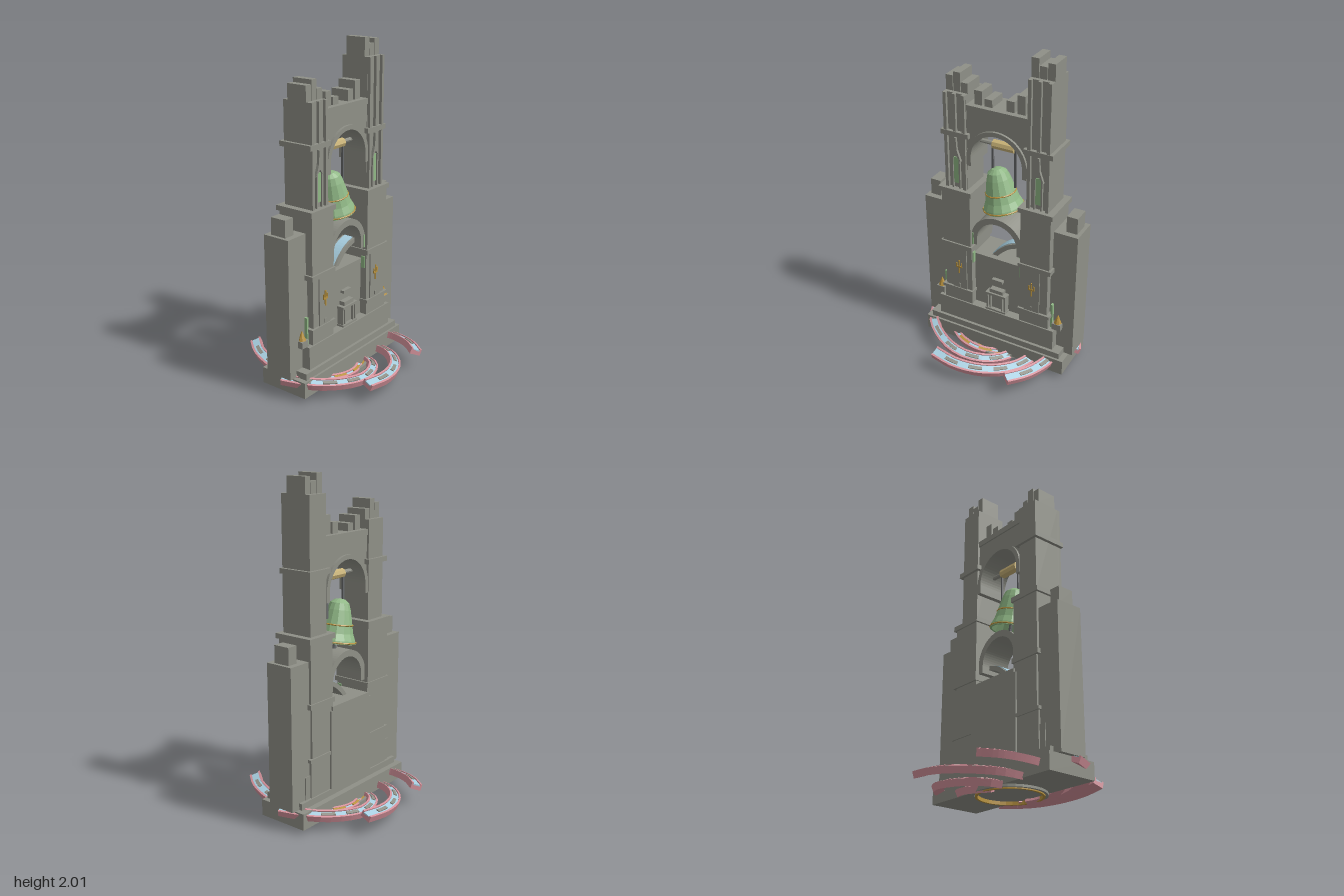
import * as THREE from 'three';

const paint = (name, color) => {
  const m = new THREE.MeshStandardMaterial({ color });
  m.name = name;
  return m;
};

export function createModel() {
  const model = new THREE.Group();
  model.name = 'bellTower';
  const stone = paint('stone', 0x8f9087), green = paint('patina green', 0x90b886);
  const blue = paint('pale blue', 0xa8cfe0), pink = paint('pink', 0xd4929b);
  const gold = paint('gold', 0xb8923f), wood = paint('light wood', 0xc8b277);
  const iron = paint('dark iron', 0x66686a);

  const add = (name, geo, mat, parent = model) => {
    const g = geo.index ? geo.toNonIndexed() : geo;
    g.computeVertexNormals();
    const mesh = new THREE.Mesh(g, mat);
    mesh.name = name;
    parent.add(mesh);
    return mesh;
  };
  // box from its limits
  const box = (name, mat, x0, x1, y0, y1, z0, z1, parent = model) => {
    const m = add(name, new THREE.BoxGeometry(Math.abs(x1 - x0), y1 - y0, z1 - z0), mat, parent);
    m.position.set((x0 + x1) / 2, (y0 + y1) / 2, (z0 + z1) / 2);
    return m;
  };
  const extrude = (name, mat, shape, z0, z1, parent = model) => {
    const g = new THREE.ExtrudeGeometry(shape, { depth: z1 - z0, bevelEnabled: false, curveSegments: 16 });
    return add(name, g.translate(0, 0, z0), mat, parent);
  };

  // plinth and steps
  box('plinth', stone, -0.485, 0.485, 0.02, 0.12, -0.165, 0.157);
  box('lowerStep', stone, -0.453, 0.453, 0.12, 0.16, -0.127, 0.143);
  box('upperStep', stone, -0.4, 0.4, 0.16, 0.3, -0.11, 0.125);
  box('centreWall', stone, -0.19, 0.19, 0.16, 0.645, -0.127, 0.07);
  box('centreWallCap', stone, -0.175, 0.175, 0.64, 0.67, -0.127, 0.08);

  // pair of towers with side wings
  for (const s of [-1, 1]) {
    const t = new THREE.Group();
    t.name = s < 0 ? 'rightTower' : 'leftTower';
    model.add(t);
    const b = (name, mat, x0, x1, ...r) => box(name, mat, s * x0, s * x1, ...r, t);
    const top = s < 0 ? 1.71 : 1.89;
    b('wing', stone, 0.34, 0.51, 0.12, 0.977, -0.105, 0.07);
    b('wingBlock', stone, 0.42, 0.488, 0.977, 1.08, -0.07, 0.033);
    b('towerFoot', stone, 0.165, 0.36, 0.16, 0.38, -0.118, 0.117);
    b('footBand', stone, 0.158, 0.372, 0.38, 0.4, -0.126, 0.127);
    b('lowerShaft', stone, 0.165, 0.35, 0.4, 0.7, -0.118, 0.113);
    b('shaftPanel', stone, 0.2, 0.3, 0.4, 0.7, 0.11, 0.121);
    b('middleBand', stone, 0.158, 0.372, 0.7, 0.73, -0.128, 0.127);
    b('middleShaft', stone, 0.168, 0.36, 0.73, 1.08, -0.12, 0.117);
    b('shoulderCap', stone, 0.155, 0.375, 1.08, 1.11, -0.13, 0.127);
    b('upperShaft', stone, 0.195, 0.335, 1.11, top, -0.097, 0.086);
    b('upperBand', stone, 0.175, 0.355, 1.45, 1.48, -0.114, 0.108);
    // pilasters and pointed lancet
    for (const x of [0.197, 0.315]) b('pilaster', stone, x, x + 0.02, 1.11, top, 0.08, 0.104);
    b('middlePilaster', stone, 0.256, 0.275, 1.48, top, 0.08, 0.104);
    b('lancetPane', green, 0.247, 0.284, 1.14, 1.31, 0.086, 0.092);
    for (const x of [0.238, 0.284]) b('lancetJamb', stone, x, x + 0.009, 1.11, 1.31, 0.08, 0.1);
    const gable = new THREE.Shape();
    [[-0.034, 1.29], [0, 1.33], [0.034, 1.29], [0.01, 1.36], [0.005, 1.44], [-0.005, 1.44], [-0.01, 1.36]]
      .forEach(([x, y], i) => (i ? gable.lineTo(x + s * 0.2655, y) : gable.moveTo(x + s * 0.2655, y)));
    extrude('lancetGable', stone, gable, 0.08, 0.102, t);
    // merlons, listed from the model's right
    const tops = s < 0 ? [1.8, 1.825, 1.77] : [2.0, 1.96, 1.985];
    tops.forEach((y, i) => {
      const x = s * 0.265 - 0.07 + i * 0.048;
      box('towerMerlon', stone, x, x + 0.044, top, y, -0.067, 0.063, t);
    });
    // gold cross ornament
    b('crossStem', gold, 0.246, 0.254, 0.515, 0.61, 0.12, 0.127);
    b('crossArm', gold, 0.23, 0.27, 0.557, 0.566, 0.12, 0.127);
    for (const x of [0.23, 0.264]) b('crossTip', gold, x, x + 0.006, 0.56, 0.59, 0.12, 0.127);
    b('panelNiche', stone, 0.243, 0.257, 0.41, 0.435, 0.12, 0.126);
    // hanging green strips
    b('outerStrip', green, 0.365, 0.378, 0.3, 0.47, 0.068, 0.09);
    b('upperInnerStrip', green, 0.158, 0.168, 0.745, 0.825, 0.06, 0.1);
    b('lowerInnerStrip', green, 0.158, 0.165, 0.61, 0.685, 0.08, 0.105);
    // corner finial
    b('finialBlock', stone, 0.38, 0.438, 0.3, 0.342, 0.05, 0.102);
    const cone = add('finial', new THREE.ConeGeometry(0.024, 0.06, 8), gold, t);
    cone.position.set(s * 0.41, 0.372, 0.077);
  }

  // belfry wall with round arch
  const wall = new THREE.Shape();
  wall.moveTo(-0.2, 1.28);
  wall.lineTo(-0.17, 1.28);
  wall.lineTo(-0.17, 1.335);
  wall.absarc(0, 1.335, 0.17, Math.PI, 0, true);
  wall.lineTo(0.17, 1.28);
  wall.lineTo(0.2, 1.28);
  wall.lineTo(0.2, 1.65);
  wall.lineTo(-0.2, 1.65);
  extrude('belfryWall', stone, wall, -0.083, 0.083);
  box('belfryCornice', stone, -0.195, 0.195, 1.62, 1.655, -0.092, 0.09);
  [[-0.157, 1.74], [-0.092, 1.7], [0.046, 1.72], [0.112, 1.765]].forEach(([x, y]) =>
    box('wallMerlon', stone, x, x + 0.048, 1.65, y, -0.06, 0.057));

  // arch rings with short legs
  const archRing = (name, cy, inner, outer, foot, z) => {
    const a = new THREE.Shape();
    a.moveTo(-outer, foot);
    a.lineTo(-inner, foot);
    a.lineTo(-inner, cy);
    a.absarc(0, cy, inner, Math.PI, 0, true);
    a.lineTo(inner, foot);
    a.lineTo(outer, foot);
    a.lineTo(outer, cy);
    a.absarc(0, cy, outer, 0, Math.PI, false);
    extrude(name, stone, a, -z, z);
  };
  archRing('belfryArch', 1.338, 0.165, 0.192, 1.28, 0.098);
  archRing('lowerArch', 0.79, 0.135, 0.174, 0.745, 0.095);

  // bell gear
  const axle = add('bellAxle', new THREE.CylinderGeometry(0.013, 0.013, 0.38, 8).rotateZ(Math.PI / 2), stone);
  axle.position.y = 1.408;
  const stock = add('headstock', new THREE.CylinderGeometry(0.028, 0.028, 0.14, 8).rotateZ(Math.PI / 2), wood);
  stock.position.y = 1.405;
  box('shortRod', iron, -0.081, -0.069, 1.19, 1.4, -0.006, 0.006);
  box('longRod', iron, 0.067, 0.079, 1.155, 1.4, -0.006, 0.006);

  // swinging bell
  const bell = new THREE.Group();
  bell.name = 'bell';
  bell.position.set(-0.002, 1.0, 0);
  bell.rotation.z = 0.19;
  model.add(bell);
  const lathe = (pts, n) => new THREE.LatheGeometry(pts.map(p => new THREE.Vector2(...p)), n);
  add('bellBody', lathe([[0, 0.17], [0.07, 0.13], [0.112, 0], [0.124, 0], [0.12, 0.02], [0.103, 0.06],
    [0.092, 0.11], [0.072, 0.195], [0.058, 0.235], [0.03, 0.255], [0, 0.26]], 14), green, bell);
  const hoop = (r, y) => add('bellHoop', new THREE.TorusGeometry(r, 0.005, 5, 14).rotateX(Math.PI / 2), gold, bell)
    .position.set(0, y, 0);
  hoop(0.123, 0.008);
  hoop(0.092, 0.108);
  const clapper = add('clapper', new THREE.CylinderGeometry(0.008, 0.012, 0.2, 8), iron, bell);
  clapper.position.y = 0.06;

  // small shrine on the ledge
  const shrine = new THREE.Group();
  shrine.name = 'shrine';
  model.add(shrine);
  box('shrineCore', stone, -0.035, 0.035, 0.31, 0.41, 0.06, 0.095, shrine);
  for (const x of [-0.066, -0.046, 0.036, 0.056])
    box('shrinePost', stone, x, x + 0.01, 0.3, 0.42, 0.07, 0.112, shrine);
  box('shrineFoot', stone, -0.07, 0.07, 0.3, 0.312, 0.06, 0.117, shrine);
  box('shrineLintel', stone, -0.07, 0.07, 0.415, 0.43, 0.06, 0.117, shrine);
  box('shrineRoof', stone, -0.045, 0.045, 0.43, 0.455, 0.06, 0.106, shrine);
  box('shrineCanopy', stone, -0.037, 0.037, 0.505, 0.522, 0.06, 0.095, shrine);

  // rectangular bar swept along a curve: [u0,u1] across, [v0,v1] up, banked outward
  const frameAt = (curve, k, bank) => {
    const p = curve.getPointAt(k), t = curve.getTangentAt(k);
    const side = t.clone().cross(new THREE.Vector3(0, 1, 0)).normalize();
    const out = Math.sign(side.x * p.x + side.z * p.z) || 1;
    const up = side.clone().cross(t).multiplyScalar(Math.cos(bank)).addScaledVector(side, out * Math.sin(bank));
    return { p, t, up, side: t.clone().cross(up).normalize() };
  };
  const sweep = (curve, u0, u1, v0, v1, bank = 0, k0 = 0, k1 = 1, n = 14) => {
    const pos = [], idx = [];
    for (let i = 0; i <= n; i++) {
      const f = frameAt(curve, k0 + (k1 - k0) * i / n, bank);
      for (const [v, u] of [[v0, u0], [v1, u0], [v1, u1], [v0, u1]])
        pos.push(...f.p.clone().addScaledVector(f.up, v).addScaledVector(f.side, u).toArray());
      if (i < n) for (let k = 0; k < 4; k++) {
        const a = i * 4 + k, b = i * 4 + (k + 1) % 4;
        idx.push(a, b, b + 4, a, b + 4, a + 4);
      }
    }
    const e = n * 4;
    idx.push(0, 3, 2, 0, 2, 1, e, e + 1, e + 2, e, e + 2, e + 3);
    const g = new THREE.BufferGeometry();
    g.setAttribute('position', new THREE.Float32BufferAttribute(pos, 3));
    return g.setIndex(idx);
  };
  const path = pts => new THREE.CatmullRomCurve3(pts.map(p => new THREE.Vector3(...p)));

  // spiral ribbons, repeated by a half turn; last value is the half width
  const ribbons = [
    [[[0.255, 0.115, -0.435], [0.11, 0.1, -0.45], [-0.03, 0.085, -0.42], [-0.15, 0.07, -0.345],
      [-0.23, 0.06, -0.245], [-0.262, 0.05, -0.15]], 0.034, stone],
    [[[0.505, 0.115, 0], [0.435, 0.105, -0.155], [0.35, 0.09, -0.235], [0.23, 0.075, -0.3], [0.125, 0.06, -0.315],
      [0.02, 0.05, -0.295], [-0.075, 0.04, -0.235], [-0.12, 0.03, -0.16]], 0.03, stone],
    [[[-0.25, 0.12, -0.44], [-0.33, 0.112, -0.335], [-0.38, 0.1, -0.2], [-0.39, 0.09, -0.1]], 0.034, stone],
    [[[0.3, 0.06, -0.12], [0.21, 0.05, -0.18], [0.12, 0.04, -0.2], [0.03, 0.03, -0.19], [-0.04, 0.025, -0.16]], 0.02, gold],
  ];
  for (const turn of [0, Math.PI]) {
    const spiral = new THREE.Group();
    spiral.name = turn ? 'frontSpiral' : 'backSpiral';
    spiral.rotation.y = turn;
    model.add(spiral);
    for (const [pts, w, dashMat] of ribbons) {
      const c = path(pts), bank = 0.35, len = c.getLength();
      add('ribbonBody', sweep(c, -w, w, -0.03, 0, bank), pink, spiral);
      add('ribbonFace', sweep(c, 0.012 - w, w - 0.012, -0.005, 0.003, bank), blue, spiral);
      for (const u of [-w, w - 0.012])
        add('ribbonRail', sweep(c, u, u + 0.012, -0.005, 0.01, bank), pink, spiral);
      for (let d = 0.09; d + 0.09 < len; d += 0.155)
        add('ribbonDash', sweep(c, -0.01, 0.01, 0, 0.009, bank, d / len, (d + 0.085) / len, 3), dashMat, spiral);
    }
  }

  // rings under the plinth
  const ring = (name, mat, r0, r1, y0, y1) =>
    add(name, lathe([[r0, y0], [r1, y0], [r1, y1], [r0, y1], [r0, y0]], 32), mat);
  ring('outerRing', stone, 0.194, 0.21, 0.006, 0.035);
  ring('innerRing', gold, 0.178, 0.192, 0, 0.03);

  // curved ramp inside the lower arch
  const ramp = path([[-0.06, 0.65, 0], [-0.01, 0.71, 0], [0.06, 0.765, 0], [0.16, 0.8, 0]]);
  add('rampBody', sweep(ramp, -0.045, 0.045, -0.018, 0.01), stone);
  add('rampFace', sweep(ramp, -0.03, 0.03, 0.005, 0.014), blue);
  return model;
}
